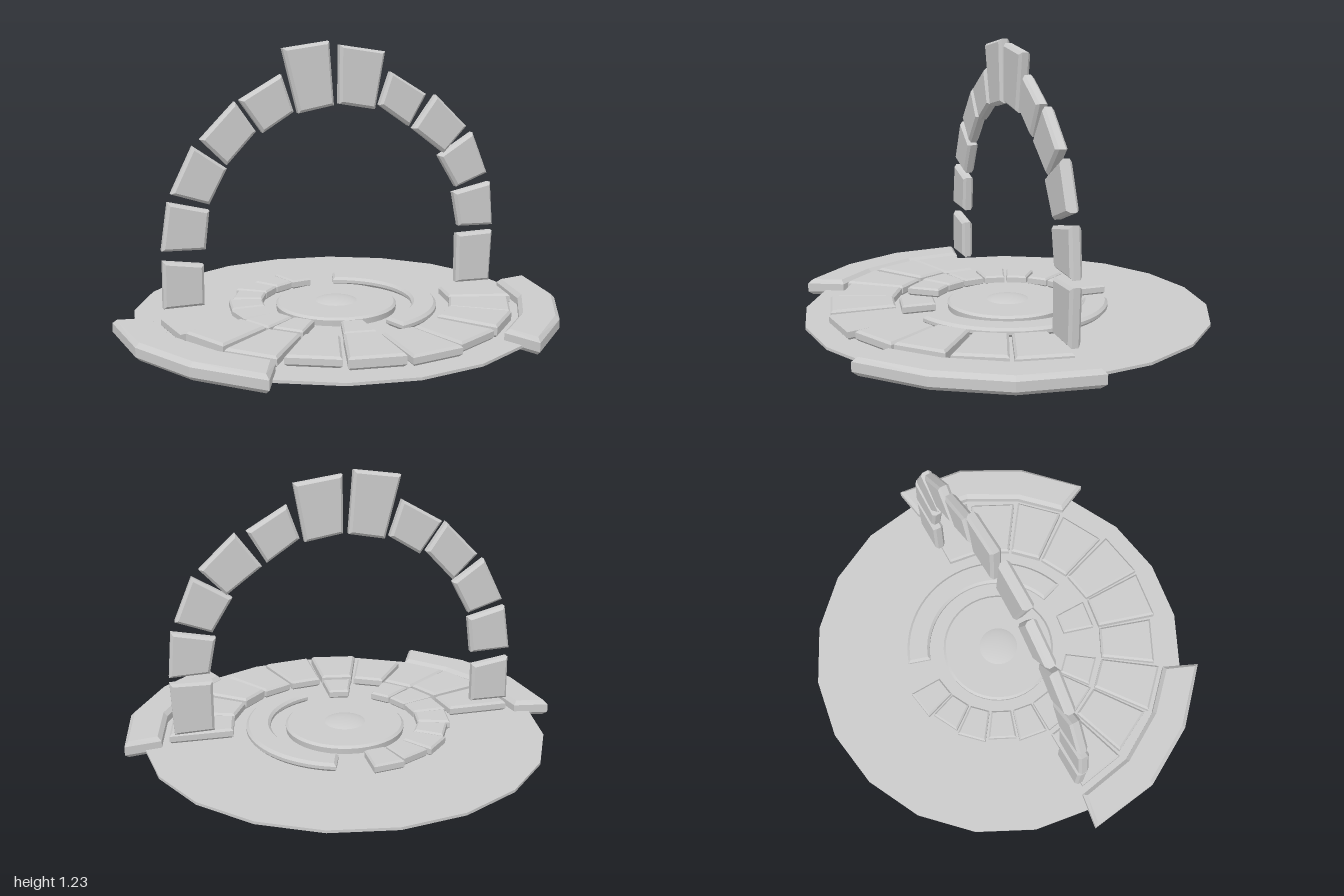
import * as THREE from 'three';
import { toCreasedNormals } from 'three/addons/utils/BufferGeometryUtils.js';

const material = new THREE.MeshStandardMaterial({ color: 0xcccccc });

function add(parent, name, geometry) {
  const mesh = new THREE.Mesh(geometry, material);
  mesh.name = name;
  parent.add(mesh);
  return mesh;
}

// Bevelled slab whose outer outline is exactly the given points, centred in depth
function slab(points, thickness, bevel) {
  const shape = new THREE.Shape(points.map(([x, y]) => new THREE.Vector2(x, y)));
  const geometry = new THREE.ExtrudeGeometry(shape, {
    depth: thickness - 2 * bevel, bevelEnabled: true, bevelSegments: 1,
    bevelSize: bevel, bevelThickness: bevel, bevelOffset: -bevel,
  });
  return geometry.translate(0, 0, bevel - thickness / 2);
}

// Slab lying flat: points are (x, z), spanning heights y0 to y1
function flatSlab(points, y0, y1, bevel) {
  return slab(points, y1 - y0, bevel).rotateX(Math.PI / 2).translate(0, (y0 + y1) / 2, 0);
}

// Ring sector; angles in degrees from +z towards +x
function sector(r0, r1, a0, a1, steps = 1) {
  const outer = [], inner = [];
  for (let i = 0; i <= steps; i++) {
    const a = THREE.MathUtils.degToRad(a0 + (a1 - a0) * i / steps);
    outer.push([r1 * Math.sin(a), r1 * Math.cos(a)]);
    inner.unshift([r0 * Math.sin(a), r0 * Math.cos(a)]);
  }
  return [...outer, ...inner];
}

export function createModel() {
  const model = new THREE.Group();
  model.name = 'stoneArchCircle';

  // Thin twenty-sided ground disc
  const ground = new THREE.CylinderGeometry(0.91, 0.91, 0.012, 20);
  add(model, 'groundDisc', toCreasedNormals(ground, 0.2)).position.y = 0.02;

  // Round centre plate with a chamfered rim and a shallow boss
  const plate = new THREE.LatheGeometry(
    [[0, 0.025], [0.27, 0.025], [0.273, 0.052], [0.262, 0.062], [0, 0.062]]
      .map(([r, y]) => new THREE.Vector2(r, y)), 40);
  add(model, 'centrePlate', toCreasedNormals(plate, 0.5));
  const boss = add(model, 'centreBoss', new THREE.SphereGeometry(0.12, 32, 16));
  boss.scale.y = 0.27;
  boss.position.y = 0.042;

  // Curved curb beside the plate
  const arc = flatSlab(sector(0.342, 0.453, 18, 162, 28), 0.03, 0.068, 0.012);
  add(model, 'innerCurb', toCreasedNormals(arc, 0.45));

  // Inner paving blocks on the right half, one of them missing
  const inner = new THREE.Group();
  inner.name = 'innerPaving';
  const innerRadii = [0.488, 0, 0.488, 0.5, 0.49, 0.485, 0.47, 0.485, 0.47, 0.49];
  innerRadii.forEach((radius, i) => {
    if (!radius) return;
    const a = -i * 18;
    add(inner, 'innerBlock', flatSlab(sector(0.335, radius, a - 17, a - 0.5), 0.033, 0.074, 0.008));
  });
  model.add(inner);

  // Outer paving stones across the front half
  const outer = new THREE.Group();
  outer.name = 'outerPaving';
  const outerRadii = [0.8, 0.785, 0.8, 0.775, 0.8, 0.81, 0.785, 0.79, 0.785, 0.8];
  outerRadii.forEach((radius, i) => {
    const a = -90 + i * 18;
    const top = i % 3 === 1 ? 0.082 : 0.074;
    add(outer, 'outerStone', flatSlab(sector(0.515, radius, a + 0.7, a + 17.3), 0.028, top, 0.01));
  });
  model.add(outer);

  // Heavy angular border curbs on both sides
  const curb = [
    [0.998, -0.035], [0.957, 0.305], [0.802, 0.588], [0.562, 0.818],
    [0.49, 0.66], [0.66, 0.49], [0.792, 0.257], [0.836, -0.01],
  ];
  for (const side of [1, -1]) {
    add(model, side > 0 ? 'leftBorderCurb' : 'rightBorderCurb',
      flatSlab(curb.map(([x, z]) => [x * side, z]), 0, 0.075, 0.018));
  }

  // Separate wedge stones of the standing arch, corners in front elevation
  const arch = new THREE.Group();
  arch.name = 'arch';
  const archStones = [
    [[-0.785, 0.315], [-0.61, 0.288], [-0.61, 0.108], [-0.788, 0.108]],
    [[-0.757, 0.567], [-0.58, 0.522], [-0.6, 0.353], [-0.788, 0.36]],
    [[-0.645, 0.8], [-0.5, 0.698], [-0.58, 0.548], [-0.742, 0.602]],
    [[-0.46, 0.98], [-0.37, 0.85], [-0.5, 0.712], [-0.612, 0.825]],
    [[-0.255, 1.09], [-0.2, 0.928], [-0.34, 0.842], [-0.44, 0.985]],
    [[-0.248, 1.2], [-0.037, 1.229], [-0.015, 0.95], [-0.178, 0.92]],
    [[0.013, 1.212], [0.226, 1.18], [0.18, 0.925], [0.01, 0.955]],
    [[0.255, 1.09], [0.43, 0.985], [0.347, 0.843], [0.202, 0.943]],
    [[0.48, 0.98], [0.637, 0.83], [0.525, 0.712], [0.368, 0.83]],
    [[0.67, 0.8], [0.75, 0.606], [0.592, 0.548], [0.5, 0.698]],
    [[0.77, 0.56], [0.787, 0.354], [0.61, 0.36], [0.578, 0.522]],
    [[0.6, 0.322], [0.787, 0.325], [0.776, 0.083], [0.6, 0.088]],
  ];
  for (const corners of archStones) add(arch, 'archStone', slab(corners, 0.052, 0.012));
  model.add(arch);

  return model;
}
